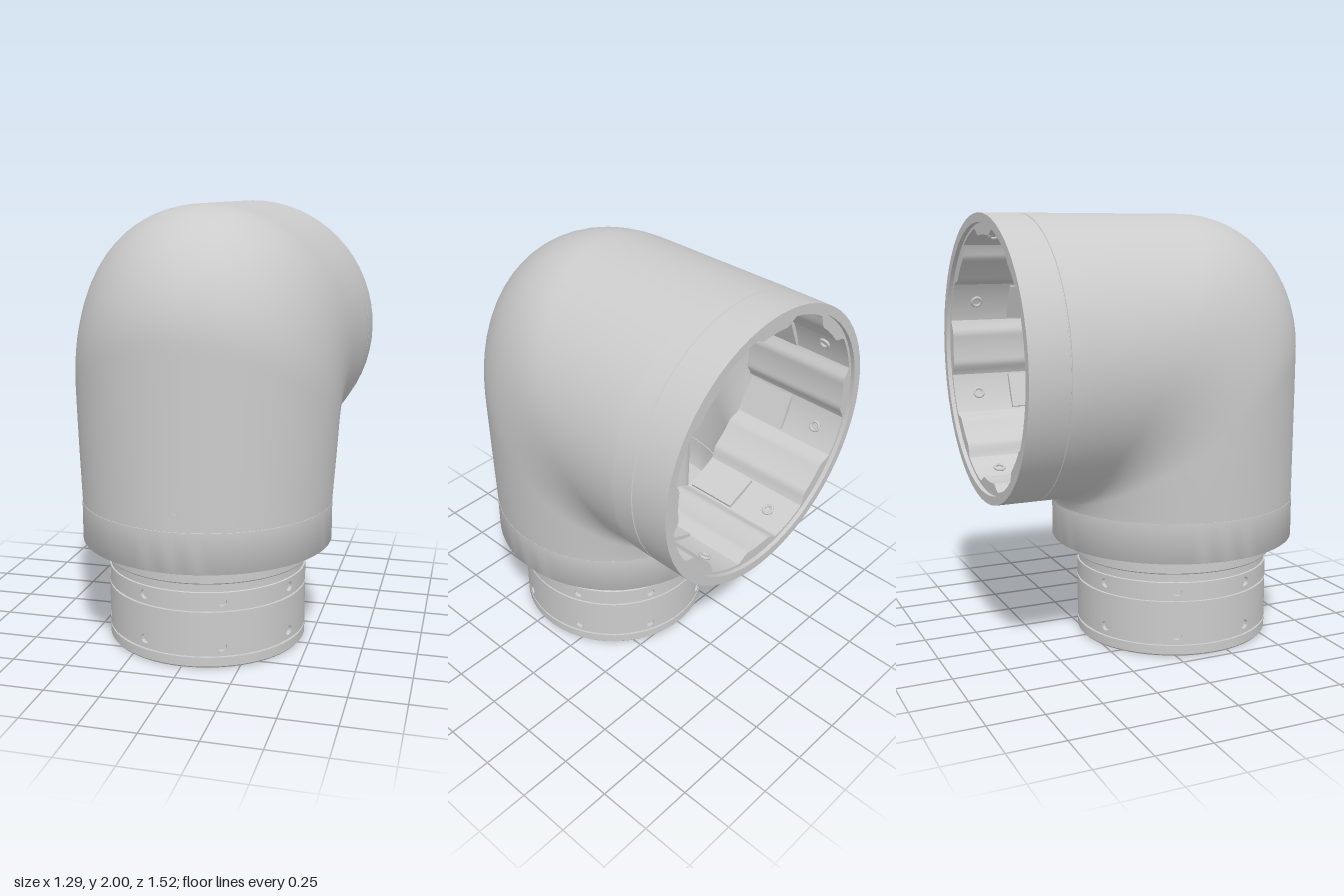
import * as THREE from 'three';
import { toCreasedNormals } from 'three/addons/utils/BufferGeometryUtils.js';
import { ParametricGeometry } from 'three/addons/geometries/ParametricGeometry.js';

const grey = new THREE.MeshStandardMaterial({ color: 0xcccccc });
const greyDouble = new THREE.MeshStandardMaterial({ color: 0xcccccc, side: THREE.DoubleSide });

const TUBE_Z = 0.18;                 // axis of the upright tube
const ARM_Y = 1.355, ARM_R = 0.645;  // axis and radius of the rear opening

function add(parent, name, geometry, x = 0, y = 0, z = 0, material = grey) {
  const mesh = new THREE.Mesh(geometry, material);
  mesh.name = name;
  mesh.position.set(x, y, z);
  parent.add(mesh);
  return mesh;
}

function lathe(points, segments = 64) {
  const g = new THREE.LatheGeometry(points.map(p => new THREE.Vector2(...p)), segments);
  return toCreasedNormals(g, 0.6);
}

function disc(radius, x = 0, y = 0) {
  const s = new THREE.Shape();
  s.absarc(x, y, radius, 0, Math.PI * 2);
  return s;
}

function extrude(shape, depth, curveSegments = 32) {
  const g = new THREE.ExtrudeGeometry(shape, { depth, bevelEnabled: false, curveSegments });
  return toCreasedNormals(g, 0.5);
}

// Closed outline whose radius follows a rule of the angle
function polar(radiusAt, count) {
  return Array.from({ length: count }, (_, i) => {
    const a = i / count * Math.PI * 2, r = radiusAt(a);
    return new THREE.Vector2(Math.cos(a) * r, Math.sin(a) * r);
  });
}

// Elbow: elliptical sections fanned around the centre of the inner fillet
function elbowGeometry() {
  const hz = -0.47, hy = 0.64, fillet = 0.07;
  const front = 1.23, top = 1.36, bend = 0.56;
  const cz = front - bend, cy = top - bend;
  function reach(c, s) {
    if (front * s <= cy * c) return front / c;
    if (top * c <= cz * s) return top / s;
    const d = c * cz + s * cy;
    return d + Math.sqrt(d * d - cz * cz - cy * cy + bend * bend);
  }
  return new ParametricGeometry((u, v, target) => {
    const t = v * Math.PI / 2, c = Math.cos(t), s = Math.sin(t);
    const outer = reach(c, s);
    const mid = (outer + fillet) / 2, half = (outer - fillet) / 2;
    const width = 0.58 + (ARM_R - 0.58) * v;
    const p = u * Math.PI * 2, d = mid + half * Math.cos(p);
    target.set(width * Math.sin(p), hy + d * s, hz + d * c);
  }, 72, 48);
}

// One eighth of a cylindrical band, pierced by a round hole
function bandPanel(radius, y0, y1, holeY, holeR) {
  const w = Math.PI / 8;
  const corners = [[-w, y0], [w, y0], [w, y1], [-w, y1]];
  return new ParametricGeometry((u, v, target) => {
    const k = Math.min(3, Math.floor(u * 4)), f = u * 4 - k;
    const a = corners[k], b = corners[(k + 1) % 4];
    const angle = u * Math.PI * 2 - Math.PI * 0.75;
    const hx = Math.cos(angle) * holeR / radius, hy = holeY + Math.sin(angle) * holeR;
    const x = THREE.MathUtils.lerp(a[0] + (b[0] - a[0]) * f, hx, v);
    const y = THREE.MathUtils.lerp(a[1] + (b[1] - a[1]) * f, hy, v);
    target.set(Math.sin(x) * radius, y, Math.cos(x) * radius);
  }, 48, 4);
}

function buildShell(root) {
  const shell = new THREE.Group();
  shell.name = 'elbowShell';
  root.add(shell);
  add(shell, 'elbow', elbowGeometry(), 0, 0, 0, greyDouble);

  // Lower collar with the recessed underside
  add(shell, 'lowerCollar', lathe([
    [0.3, 0.54], [0.5, 0.54], [0.5, 0.51], [0.53, 0.51], [0.53, 0.475],
    [0.58, 0.475], [0.582, 0.478], [0.582, 0.658], [0.575, 0.66]
  ]), 0, 0, TUBE_Z, greyDouble);

  // Rear sleeve and its rim
  add(shell, 'rearSleeve', lathe([
    [ARM_R, 0.465], [ARM_R, 0.575], [0.641, 0.577], [0.641, 0.581], [ARM_R, 0.583],
    [ARM_R, 0.76], [0.604, 0.76], [0.604, 0.735]
  ]).rotateX(-Math.PI / 2), 0, ARM_Y, 0);

  // Ribbed lining of the rear bore
  const lining = disc(0.605);
  lining.holes.push(new THREE.Path(polar(
    a => 0.59 - 0.04 * THREE.MathUtils.smoothstep(Math.cos(8 * a), -0.3, 0.5), 192).reverse()));
  add(shell, 'boreLining', extrude(lining, 0.54, 48), 0, ARM_Y, -0.74);

  for (let i = 0; i < 8; i++) {
    const mount = new THREE.Group();
    mount.name = 'borePanel';
    mount.position.y = ARM_Y;
    mount.rotation.z = (i + 0.5) * Math.PI / 4;
    shell.add(mount);
    add(mount, 'screwEye', new THREE.TorusGeometry(0.022, 0.007, 8, 20).rotateY(Math.PI / 2), 0.585, 0, -0.62);
    add(mount, 'pad', new THREE.BoxGeometry(0.02, 0.17, 0.24), 0.58, 0, -0.34);
  }

  // Small arched inspection tabs on the front and under the sleeve
  const arch = new THREE.Shape();
  arch.moveTo(-0.02, 0);
  arch.lineTo(0.02, 0);
  arch.lineTo(0.02, 0.06);
  arch.absarc(0, 0.06, 0.02, 0, Math.PI);
  const tab = extrude(arch, 0.01, 8);
  add(shell, 'frontTab', tab, 0, 0.66, 0.753);
  add(shell, 'undersideTab', tab, 0, 0.717, -0.66).rotation.x = Math.PI / 2;
}

function buildBase(root) {
  const base = new THREE.Group();
  base.name = 'base';
  base.position.z = TUBE_Z;
  root.add(base);

  // Stepped core with grooves and top flange
  add(base, 'core', lathe([
    [0, 0.04], [0.455, 0.04], [0.455, 0], [0.462, 0.008], [0.462, 0.05], [0.45, 0.05],
    [0.45, 0.06], [0.462, 0.06], [0.44, 0.06], [0.44, 0.26], [0.462, 0.26], [0.45, 0.26],
    [0.45, 0.27], [0.462, 0.27], [0.44, 0.27], [0.44, 0.35], [0.462, 0.35], [0.455, 0.352],
    [0.455, 0.395], [0.476, 0.395], [0.48, 0.4], [0.48, 0.465], [0.475, 0.47], [0.45, 0.47], [0.45, 0.55]
  ]));

  // Two bands, each with eight screw holes
  const cup = lathe([[0.022, 0.018], [0.022, 0], [0, 0]], 20).rotateX(Math.PI / 2);
  for (const [y0, y1, holeY] of [[0.06, 0.26, 0.1], [0.27, 0.35, 0.31]]) {
    const panel = bandPanel(0.462, y0, y1, holeY, 0.022);
    for (let i = 0; i < 8; i++) {
      const sector = new THREE.Group();
      sector.name = 'bandSector';
      sector.rotation.y = (i + 0.5) * Math.PI / 4;
      base.add(sector);
      add(sector, 'bandPanel', panel);
      add(sector, 'screwHole', cup, 0, holeY, 0.444);
    }
  }

  // Underside plate with bolt holes and a conical centre
  const plate = disc(0.456);
  plate.holes.push(disc(0.07));
  const bolt = (a, r, size) => plate.holes.push(disc(size, Math.cos(a) * r, Math.sin(a) * r));
  for (let i = 0; i < 8; i++) {
    const a = (i + 0.5) * Math.PI / 4;
    bolt(a, 0.395, 0.028);
    if (i % 2) for (const side of [-1, 1]) bolt(a + side * 0.19, 0.41, 0.016);
  }
  add(base, 'bottomPlate', extrude(plate, 0.04, 24).rotateX(-Math.PI / 2));
  add(base, 'centreDimple', lathe([[0, 0.038], [0.015, 0.036], [0.07, 0]], 32));
}

function buildInterior(root) {
  const inner = new THREE.Group();
  inner.name = 'driveUnit';
  inner.position.z = TUBE_Z;
  root.add(inner);

  // Fluted housing standing in the upright tube
  const fluted = new THREE.Shape(polar(a => 0.36 + 0.025 * Math.cos(12 * a), 144));
  fluted.holes.push(disc(0.2));
  add(inner, 'flutedHousing', extrude(fluted, 0.46).rotateX(-Math.PI / 2), 0, 0.53, 0);
  add(inner, 'floor', new THREE.CylinderGeometry(0.45, 0.45, 0.02, 48), 0, 0.55, 0);

  // Circuit board on posts with small components
  add(inner, 'board', new THREE.CylinderGeometry(0.33, 0.33, 0.02, 40), 0, 1.1, 0.06);
  for (const x of [-0.2, 0.2]) for (const z of [-0.1, 0.22]) {
    add(inner, 'post', new THREE.CylinderGeometry(0.02, 0.02, 0.14, 12), x, 1.04, z);
    add(inner, 'component', new THREE.BoxGeometry(0.12, 0.05, 0.08), x * 0.7, 1.13, z);
  }
  add(inner, 'connector', new THREE.BoxGeometry(0.2, 0.07, 0.1), 0, 1.14, 0.06);
  add(inner, 'rod', new THREE.CylinderGeometry(0.008, 0.008, 0.7, 10), 0, 1.05, -0.3);
}

export function createModel() {
  const root = new THREE.Group();
  root.name = 'elbowJoint';
  buildShell(root);
  buildBase(root);
  buildInterior(root);
  return root;
}
